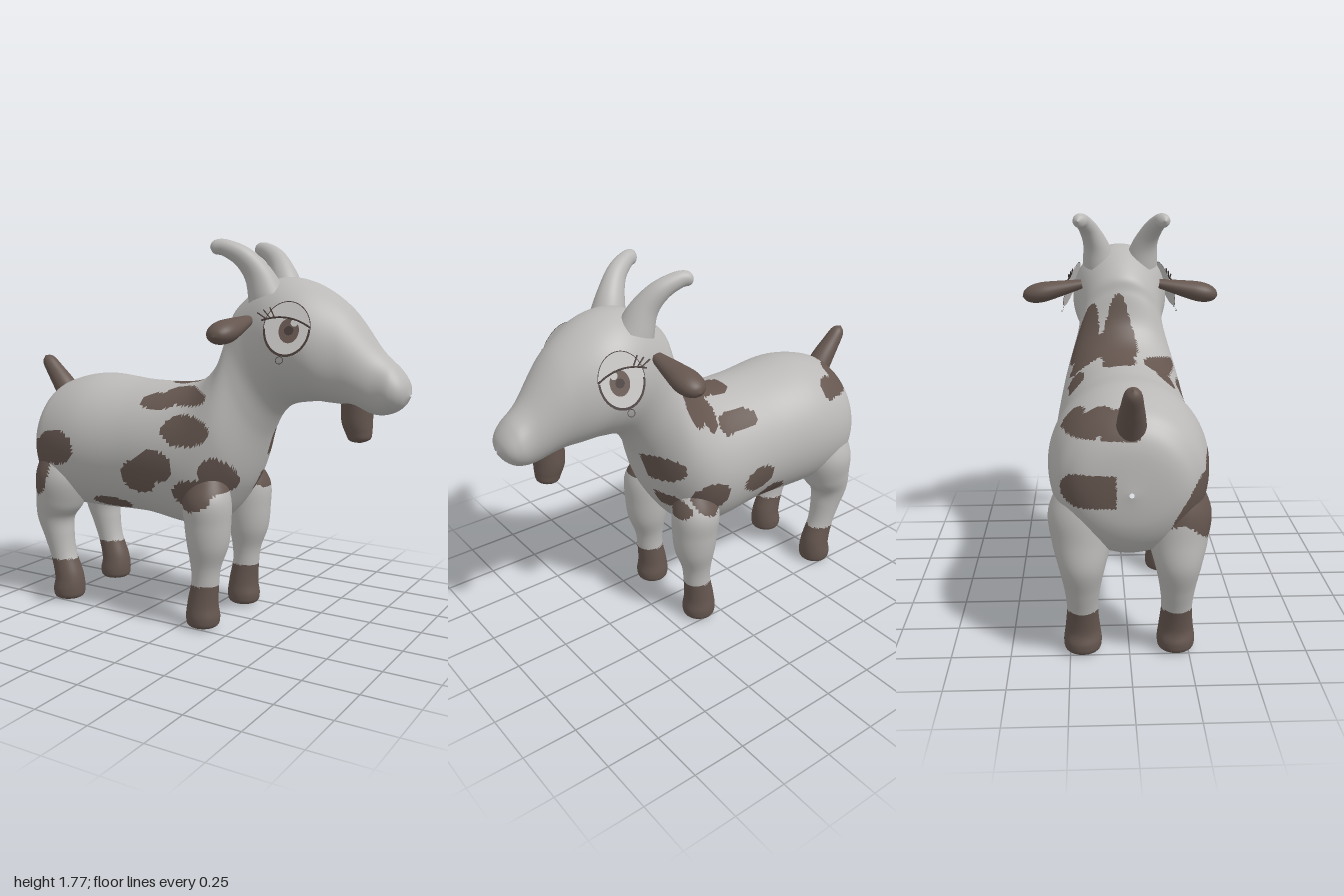
import * as THREE from 'three';

const mat = (name, color, side = THREE.FrontSide) => {
  const m = new THREE.MeshStandardMaterial({ color, side });
  m.name = name;
  return m;
};

// Brown patches as ellipses: flanks are x, y, rx, ry and the back is x, z, rx, rz
const NEAR_SPOTS = [
  [-0.67, 0.8, 0.12, 0.085], [-0.79, 0.69, 0.08, 0.14], [0, 1.075, 0.14, 0.04], [-0.14, 1.045, 0.1, 0.035],
  [0.05, 0.93, 0.125, 0.07], [-0.1, 0.76, 0.1, 0.075], [-0.19, 0.7, 0.1, 0.08],
  [0.09, 0.64, 0.1, 0.07], [0.185, 0.73, 0.065, 0.085], [-0.42, 0.53, 0.11, 0.035],
];
const FAR_SPOTS = [
  [0.09, 0.7, 0.09, 0.08], [-0.18, 0.72, 0.09, 0.065], [-0.31, 0.59, 0.07, 0.05],
  [0.3, 0.86, 0.09, 0.07], [0.25, 0.66, 0.06, 0.05], [-0.88, 0.78, 0.06, 0.07],
];
const BACK_SPOTS = [
  [0.04, -0.02, 0.125, 0.09], [-0.09, -0.02, 0.09, 0.08], [0.06, -0.15, 0.06, 0.1],
  [-0.1, -0.23, 0.11, 0.05], [0.14, -0.18, 0.06, 0.07],
  [-0.72, -0.24, 0.09, 0.06], [-0.8, -0.16, 0.06, 0.09], [-0.85, -0.04, 0.06, 0.08],
];
const inside = (spots, u, v) => spots.some(([x, y, a, b]) => ((u - x) / a) ** 2 + ((v - y) / b) ** 2 < 1);
const isBrown = p => p.y < 0.21 || (p.y > 0.98 && inside(BACK_SPOTS, p.x, p.z))
  || (p.z > 0.06 && inside(NEAR_SPOTS, p.x, p.y)) || (p.z < -0.06 && inside(FAR_SPOTS, p.x, p.y));

// Smooth skin over rows of [topX, topY, bottomX, bottomY, halfWidth, centreZ]
function loft(rows, rings, segs) {
  const curve = f => new THREE.CatmullRomCurve3(rows.map(f), false, 'catmullrom', 0.5);
  const top = curve(r => new THREE.Vector3(r[0], r[1], 0));
  const bottom = curve(r => new THREE.Vector3(r[2], r[3], 0));
  const side = curve(r => new THREE.Vector3(r[4], r[5] ?? 0, 0));
  const pos = [], plain = [], brown = [];
  for (let i = 0; i <= rings; i++) {
    const t = i / rings, T = top.getPoint(t), B = bottom.getPoint(t), S = side.getPoint(t);
    for (let j = 0; j < segs; j++) {
      const a = j / segs * Math.PI * 2, k = (1 + Math.cos(a)) / 2;
      pos.push(B.x + (T.x - B.x) * k, Math.max(0, B.y + (T.y - B.y) * k), S.y + Math.max(0, S.x) * Math.sin(a));
    }
  }
  const at = i => new THREE.Vector3().fromArray(pos, i * 3);
  const face = (a, b, c) => {
    const mid = at(a).add(at(b)).add(at(c)).divideScalar(3);
    (isBrown(mid) ? brown : plain).push(a, b, c);
  };
  for (let i = 0; i < rings; i++) for (let j = 0; j < segs; j++) {
    const a = i * segs + j, b = i * segs + (j + 1) % segs;
    face(a, b, a + segs);
    face(b, b + segs, a + segs);
  }
  const g = new THREE.BufferGeometry();
  g.setAttribute('position', new THREE.Float32BufferAttribute(pos, 3));
  g.setIndex(plain.concat(brown));
  g.addGroup(0, plain.length, 0);
  g.addGroup(plain.length, brown.length, 1);
  g.computeVertexNormals();
  return g;
}

// Tapered round limb along a path of [x, y, radius, z]
function limb(path, rings = 40, segs = 32) {
  return loft(path.map(([x, y, r, z], i) => {
    const p = path[Math.max(0, i - 1)], q = path[Math.min(path.length - 1, i + 1)];
    const d = new THREE.Vector2(q[0] - p[0], q[1] - p[1]).normalize();
    return [x - d.y * r, y + d.x * r, x + d.y * r, y - d.x * r, r, z];
  }), rings, segs);
}

// Leg: its own thigh, then a hoof below
function leg(thigh, hoofX, s) {
  const hoof = [[0.12, 0.072], [0.05, 0.08], [0.01, 0.066], [0, 0.001]].map(([y, r]) => [hoofX, y, r]);
  return limb([...thigh, ...hoof].map(([x, y, r]) => [x, y, r, s * (y > 0.7 ? 0.17 : 0.197)]), 80, 48);
}

export function createModel() {
  const model = new THREE.Group();
  model.name = 'goat';
  const coat = mat('grey coat', 0xbab9b7), brown = mat('brown patches', 0x65564f);
  const eyeWhite = mat('eye plate', 0xc4c3c1, THREE.DoubleSide);
  const iris = mat('iris brown', 0x66564f, THREE.DoubleSide);
  const line = mat('dark outline', 0x453a37, THREE.DoubleSide);
  const add = (name, geo, material, parent = model) => {
    const m = new THREE.Mesh(geo, material);
    m.name = name;
    parent.add(m);
    return m;
  };

  // Body, neck and head in one skin, from rump to nose
  add('bodyNeckAndHead', loft([
    [-0.905, 0.78, -0.905, 0.76, 0.01], [-0.89, 0.95, -0.885, 0.62, 0.18],
    [-0.85, 1.04, -0.83, 0.52, 0.26], [-0.77, 1.1, -0.75, 0.47, 0.31],
    [-0.58, 1.14, -0.56, 0.465, 0.335], [-0.3, 1.12, -0.28, 0.47, 0.315],
    [-0.02, 1.135, 0.05, 0.45, 0.31], [0.115, 1.24, 0.235, 0.64, 0.275],
    [0.165, 1.4, 0.34, 0.91, 0.215], [0.2, 1.49, 0.43, 1.035, 0.205],
    [0.36, 1.6, 0.56, 1.07, 0.235], [0.53, 1.595, 0.645, 1.07, 0.225],
    [0.71, 1.49, 0.74, 1.06, 0.165], [0.86, 1.31, 0.85, 1.03, 0.11],
    [0.94, 1.235, 0.92, 1.04, 0.1], [0.98, 1.18, 0.965, 1.07, 0.07],
    [0.995, 1.125, 0.995, 1.115, 0.005],
  ], 230, 120), [coat, brown]);

  // Tail and beard
  add('tail', limb([[-0.82, 1, 0.063], [-0.87, 1.07, 0.055], [-0.92, 1.13, 0.045],
    [-0.97, 1.19, 0.032], [-0.99, 1.213, 0.001]]), brown);
  add('beard', limb([[0.76, 1.08, 0.07], [0.76, 1, 0.068], [0.77, 0.95, 0.058],
    [0.775, 0.915, 0.045], [0.775, 0.9, 0.001]]), brown);

  for (const s of [1, -1]) {
    const word = s > 0 ? 'near' : 'far';

    // Legs with brown hooves
    add(word + 'FrontLeg', leg([[0.11, 0.75, 0.06], [0.12, 0.62, 0.11], [0.125, 0.5, 0.108],
      [0.125, 0.4, 0.097], [0.115, 0.3, 0.072], [0.112, 0.22, 0.065]], 0.1, s), [coat, brown]);
    add(word + 'HindLeg', leg([[-0.72, 0.8, 0.1], [-0.72, 0.65, 0.135], [-0.745, 0.52, 0.122],
      [-0.775, 0.42, 0.095], [-0.755, 0.32, 0.075], [-0.73, 0.22, 0.065]], -0.7, s), [coat, brown]);

    // Horn sweeping up, out and back
    add(word + 'Horn', limb([[0.37, 1.52, 0.085, s * 0.1], [0.335, 1.62, 0.062, s * 0.12],
      [0.28, 1.695, 0.047, s * 0.155], [0.21, 1.735, 0.037, s * 0.185],
      [0.165, 1.74, 0.03, s * 0.2], [0.143, 1.74, 0.001, s * 0.207]]), coat);

    // Ear
    const profile = [[0.03, 0], [0.055, 0.13], [0.065, 0.2], [0.058, 0.25], [0.035, 0.285], [0, 0.3]];
    const ear = new THREE.LatheGeometry(
      new THREE.SplineCurve(profile.map(p => new THREE.Vector2(...p))).getPoints(24), 28);
    ear.scale(1, 1, 0.75).rotateX(s * (Math.PI / 2 + 0.2));
    add(word + 'Ear', ear, brown).position.set(0.32, 1.425, s * 0.19);

    // Eye: flat plate with painted details, leaning up and forward
    const eye = new THREE.Group();
    eye.name = word + 'Eye';
    const n = new THREE.Vector3(0.22, 0.33, s * 0.92).normalize();
    const ex = new THREE.Vector3(0, 1, 0).cross(n).normalize();
    eye.quaternion.setFromRotationMatrix(new THREE.Matrix4().makeBasis(ex, n.clone().cross(ex), n));
    eye.position.set(0.535, 1.395, s * 0.243);
    model.add(eye);
    const flat = (name, geo, m, x, y, z, sy = 1) => {
      const o = add(name, geo, m, eye);
      o.position.set(s * x, y, z);
      o.scale.y = sy;
    };
    flat('eyePlate', new THREE.CircleGeometry(0.1, 40), eyeWhite, 0, 0, 0, 1.2);
    flat('eyeUpperRim', new THREE.RingGeometry(0.098, 0.101, 40, 1, 0, Math.PI), line, 0, 0, 0.001, 1.2);
    flat('eyeLowerRim', new THREE.RingGeometry(0.091, 0.1, 40, 1, Math.PI, Math.PI), line, 0, 0, 0.002, 1.2);
    flat('iris', new THREE.CircleGeometry(0.043, 28), iris, 0.01, -0.008, 0.003, 1.25);
    flat('pupil', new THREE.CircleGeometry(0.02, 20), line, 0.01, -0.008, 0.005);
    flat('eyeGlint', new THREE.CircleGeometry(0.016, 16), eyeWhite, 0.032, 0.025, 0.007);
    flat('tear', new THREE.RingGeometry(0.014, 0.017, 20), line, -0.02, -0.135, 0.002);
    const lid = new THREE.QuadraticBezierCurve3(new THREE.Vector3(s * -0.11, 0.035, 0.006),
      new THREE.Vector3(0, 0.075, 0.006), new THREE.Vector3(s * 0.1, 0.005, 0.006));
    add('eyelidLine', new THREE.TubeGeometry(lid, 20, 0.004, 6), line, eye);
    for (let i = 0; i < 3; i++) {
      const lash = add('eyelash', new THREE.BoxGeometry(0.005, 0.045, 0.005), line, eye);
      lash.position.set(s * (-0.112 + i * 0.022), 0.056 + i * 0.008, 0.006);
      lash.rotation.z = s * (1.0 - i * 0.25);
    }
  }
  return model;
}
